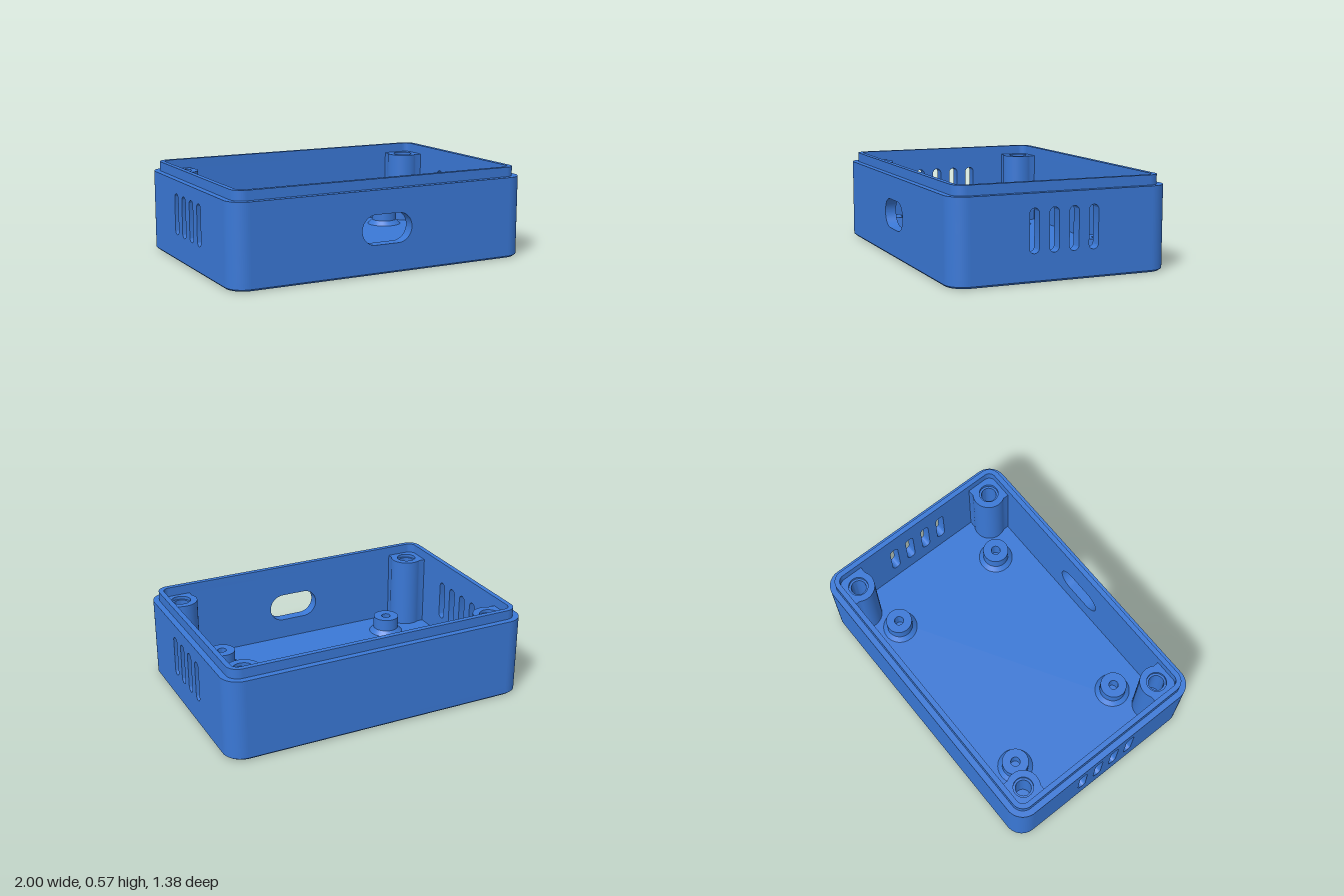
import * as THREE from 'three';
import { toCreasedNormals } from 'three/addons/utils/BufferGeometryUtils.js';

const HX = 1, HZ = 0.69, R = 0.115;      // outer half sizes and corner radius
const WALL = 0.07, STEP = 0.038;         // wall thickness, shoulder width
const CHAMFER = 0.012, FLOOR = 0.05, SHOULDER = 0.515, TOP = 0.575;

const plastic = new THREE.MeshStandardMaterial({ color: 0x3a78d6 });
plastic.name = 'blue plastic';

// Rounded rectangle centred on (cx, cy), with half sizes a, b and radius r
function rounded(a, b, r, Type = THREE.Shape, cx = 0, cy = 0) {
  const s = new Type();
  [[1, 1], [-1, 1], [-1, -1], [1, -1]].forEach(([sx, sy], i) =>
    s.absarc(cx + sx * (a - r), cy + sy * (b - r), r, i * Math.PI / 2, (i + 1) * Math.PI / 2, false));
  s.closePath();
  return s;
}

const insetRect = (d, Type) => rounded(HX - d, HZ - d, R - d, Type);

function extrude(shape, depth) {
  return new THREE.ExtrudeGeometry(shape, { depth, bevelEnabled: false, curveSegments: 16 });
}

// Extrude a plan shape upwards from y0 to y1 (shape y becomes -z)
function upright(shape, y0, y1) {
  return extrude(shape, y1 - y0).rotateX(-Math.PI / 2).translate(0, y0, 0);
}

function lathe(points) {
  return new THREE.LatheGeometry(points.map(p => new THREE.Vector2(...p)), 40);
}

export function createModel() {
  const model = new THREE.Group();
  model.name = 'enclosureBase';
  const add = (name, geometry, x = 0, z = 0) => {
    const mesh = new THREE.Mesh(toCreasedNormals(geometry, 0.5), plastic);
    mesh.name = name;
    mesh.position.set(x, 0, z);
    model.add(mesh);
  };

  // Floor, with a chamfered bottom edge
  const chamfer = upright(insetRect(0), 0, CHAMFER);
  const p = chamfer.attributes.position;
  for (let i = 0; i < p.count; i++) {
    if (p.getY(i) < CHAMFER / 2) {
      p.setX(i, p.getX(i) * (1 - CHAMFER / HX));
      p.setZ(i, p.getZ(i) * (1 - CHAMFER / HZ));
    }
  }
  add('bottomChamfer', chamfer);
  add('floor', upright(insetRect(0), CHAMFER, FLOOR));

  // Straight walls, extruded outwards from the inner face
  const wall = (name, halfLength, distance, turn, holes) => {
    const height = (SHOULDER - FLOOR) / 2;
    const s = new THREE.Shape();
    s.moveTo(-halfLength, FLOOR);
    s.lineTo(halfLength, FLOOR);
    s.lineTo(halfLength, FLOOR + 2 * height);
    s.lineTo(-halfLength, FLOOR + 2 * height);
    s.closePath();
    s.holes.push(...holes);
    add(name, extrude(s, WALL).translate(0, 0, distance - WALL).rotateY(turn));
  };
  const port = rounded(0.17, 0.092, 0.0919, THREE.Path, 0, 0.275);
  const slots = [-1.5, -0.5, 0.5, 1.5].map(k =>
    rounded(0.03, 0.13, 0.0299, THREE.Path, k * 0.125, 0.3));
  wall('frontWall', HX - R, HZ, 0, [port]);
  wall('backWall', HX - R, HZ, Math.PI, []);
  wall('leftWall', HZ - R, HX, Math.PI / 2, slots);
  wall('rightWall', HZ - R, HX, -Math.PI / 2, slots);

  // Raised lip that locates the lid
  const lip = insetRect(STEP);
  lip.holes.push(insetRect(WALL, THREE.Path));
  add('lip', upright(lip, SHOULDER, TOP));

  // Corner posts: a round boss joined to both walls
  const postX = 0.835, postZ = 0.53, bossR = 0.105, web = 0.09;
  const a0 = Math.PI - Math.asin(web / bossR), a1 = Math.PI / 2 - a0;
  const post = (sx, sz) => {
    const s = new THREE.Shape();
    const at = (u, v) => new THREE.Vector2(sx * (postX - u), -sz * (postZ - v));
    const ex = postX - 0.935, ez = postZ - 0.625;
    const pts = [at(ex, ez), at(ex, web)];
    for (let i = 0; i <= 24; i++) {
      const a = a0 + (a1 - a0) * i / 24;
      pts.push(at(bossR * Math.cos(a), bossR * Math.sin(a)));
    }
    pts.push(at(web, ez));
    s.setFromPoints(pts);
    s.holes.push(new THREE.Path().absarc(sx * postX, -sz * postZ, 0.062, 0, Math.PI * 2));
    return upright(s, FLOOR, SHOULDER);
  };

  for (const sx of [1, -1]) {
    for (const sz of [1, -1]) {
      // Rounded wall corner
      const c = new THREE.Shape();
      const start = { '1,1': 3, '1,-1': 0, '-1,-1': 1, '-1,1': 2 }[`${sx},${sz}`] * Math.PI / 2;
      const cx = sx * (HX - R), cy = -sz * (HZ - R);
      c.absarc(cx, cy, R, start, start + Math.PI / 2, false);
      c.absarc(cx, cy, R - WALL, start + Math.PI / 2, start, true);
      c.closePath();
      add('wallCorner', upright(c, FLOOR, SHOULDER));

      // Post with a stepped screw hole
      add('cornerPost', post(sx, sz));
      add('postScrewHole', lathe([[0.062, 0.495], [0.048, 0.495], [0.048, 0.25], [0, 0.25]]),
        sx * postX, sz * postZ);

      // Board standoff with a flared foot and pilot hole
      add('standoff', lathe([[0.113, FLOOR], [0.085, 0.08], [0.085, 0.16],
        [0.03, 0.16], [0.03, 0.06], [0, 0.06]]), sx * 0.615, sz * 0.41);
    }
  }
  return model;
}
